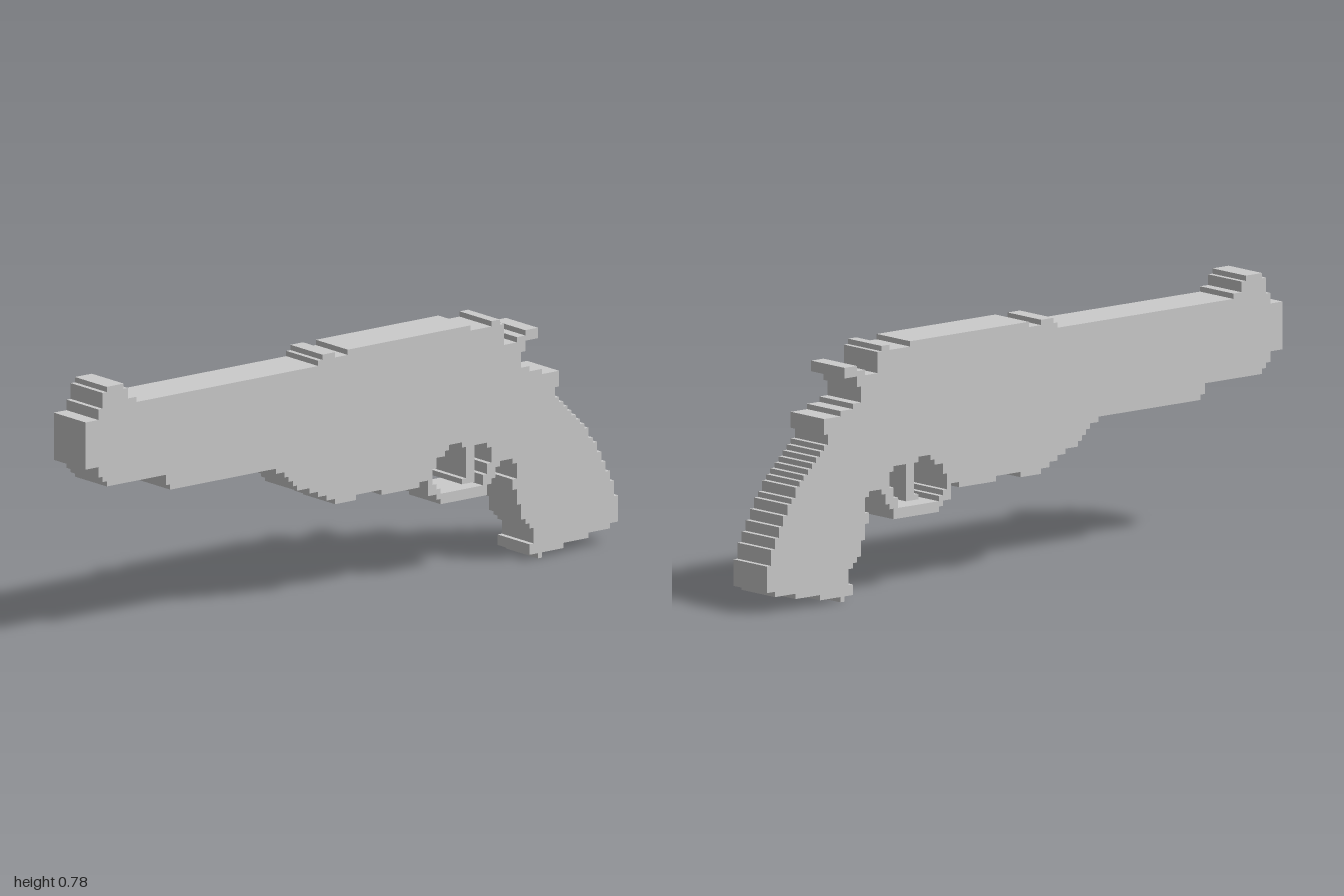
import * as THREE from 'three';

const CELL = 2 / 126;   // size of one stair step
const WIDTH = 0.15;

const material = new THREE.MeshStandardMaterial({ color: 0xcccccc, flatShading: true });

// Extrudes a stepped outline. Starting at (col, row), the steps alternate
// between a new row and a new column; columns count back from the muzzle.
function steppedPart(name, col, row, steps) {
  const points = [new THREE.Vector2(1 - col * CELL, row * CELL)];
  steps.forEach((value, i) => {
    if (i % 2 === 0) row = value;
    else col = value;
    points.push(new THREE.Vector2(1 - col * CELL, row * CELL));
  });
  const geometry = new THREE.ExtrudeGeometry(new THREE.Shape(points), {
    depth: WIDTH, bevelEnabled: false,
  });
  geometry.translate(0, 0, -WIDTH / 2);
  geometry.rotateY(-Math.PI / 2);
  const mesh = new THREE.Mesh(geometry, material);
  mesh.name = name;
  return mesh;
}

export function createModel() {
  const model = new THREE.Group();
  model.name = 'pistol';

  model.add(
    // barrel with the front sight and the stepped underside
    steppedPart('barrel', 0, 34, [
      43, 3, 45, 4, 48, 5, 49, 9, 48, 10, 46, 12, 45, 55,
      21, 53, 22, 50, 23, 49, 24, 48, 25, 47, 26, 45, 27, 20,
      28, 19, 30, 5, 31, 4, 32, 3, 34,
    ]),
    // frame with the rear sight and the upper arch of the trigger opening
    steppedPart('frame', 55, 20, [
      46, 56, 47, 59, 46, 62, 47, 91, 46, 96, 47, 98, 46, 99,
      20, 96, 23, 95, 24, 89, 25, 86, 24, 85, 23, 83, 21, 82,
      20, 81, 19, 79, 18, 70, 19, 64, 18, 59, 19, 57, 20,
    ]),
    // thin loop below the trigger
    steppedPart('triggerGuard', 81, 16, [
      20, 82, 18, 83, 17, 84, 16, 94, 18, 95, 20, 98,
      19, 97, 17, 96, 16, 95, 14, 84, 15, 83, 16,
    ]),
    steppedPart('trigger', 89, 17, [18, 90, 24, 92, 17]),
    steppedPart('hammer', 102, 40, [43, 104, 44, 107, 42, 104, 40]),
    // curved grip: back edge going down, then the butt and the front edge
    steppedPart('grip', 99, 20, [
      42, 102, 40, 103, 37, 105, 36, 108, 35, 112, 32, 111, 30, 112,
      29, 113, 28, 114, 27, 115, 26, 116, 25, 117, 24, 118, 23, 119,
      21, 120, 20, 121, 18, 122, 16, 123, 14, 124, 12, 125, 9, 126,
      4, 124, 3, 119, 2, 113, 1, 108, 0, 107, 1, 105, 3, 106,
      6, 105, 7, 104, 8, 103, 11, 102, 14, 101, 16, 102, 19, 101, 20,
    ]),
  );
  return model;
}
